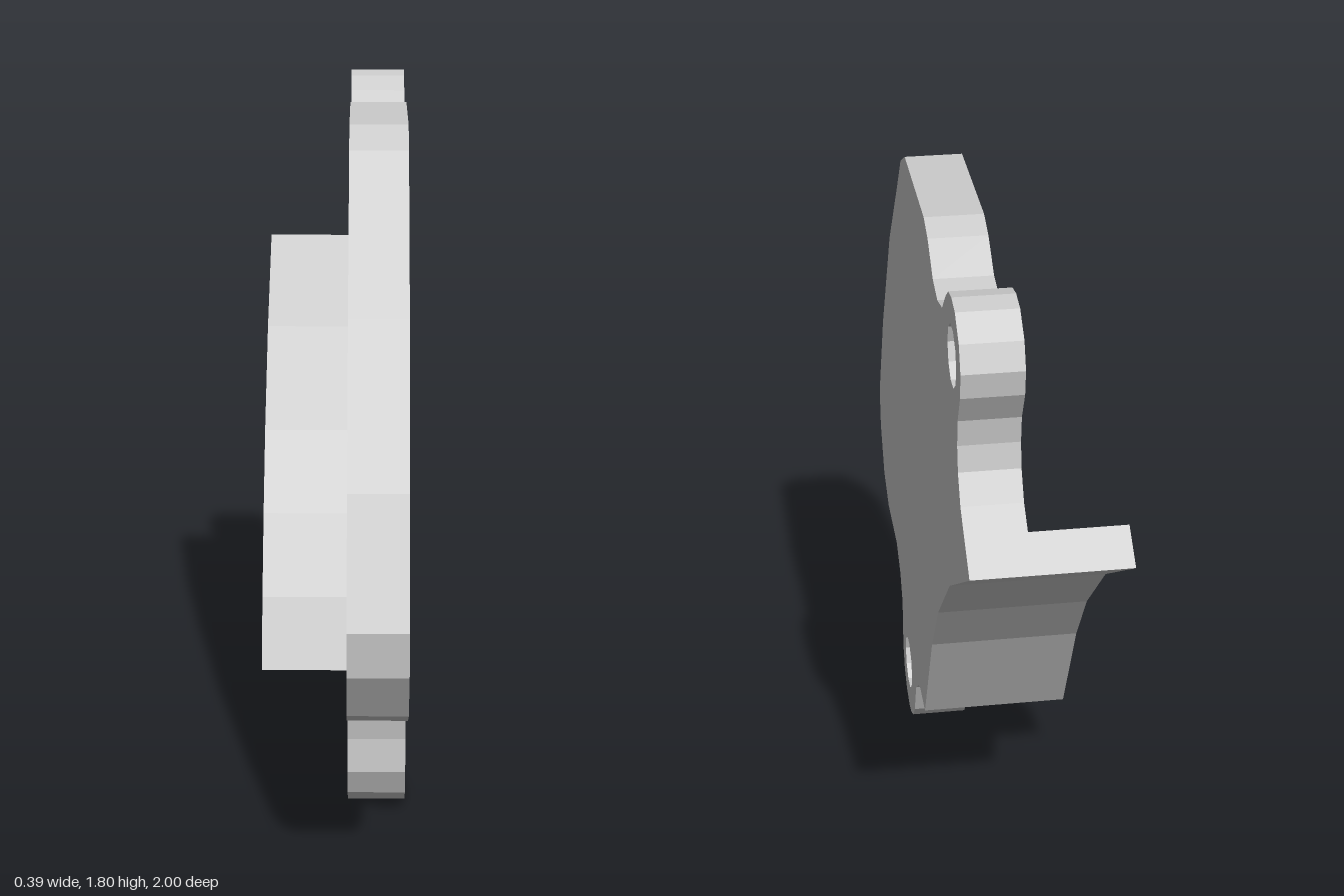
import * as THREE from 'three';

const BACK = -0.2, INNER = 0.04, OUTER = 0.19; // x positions of the flat faces
const SEAT = 0.1, HOLE_R = 0.077, SINK_R = 0.138, SIDES = 10;

const material = new THREE.MeshStandardMaterial({
  color: 0xcccccc, flatShading: true, side: THREE.DoubleSide,
});

// Outlines are [z, y] pairs, seen from +x and running clockwise.
const bodyEdge = [
  [0.03, 0.245], [0.07, 0.23], [0.135, 0.18], [0.18, 0.075], [0.22, 0.03], // lower lug
  [0.27, 0.005], [0.315, 0], [0.38, 0.016], [0.43, 0.055], [0.46, 0.125],
  [0.455, 0.215], [0.465, 0.28], [0.505, 0.343], [0.59, 0.397],
  [0.805, 0.405], [0.915, 0.46], [0.99, 0.585], [1, 0.7],                  // front corner
  [0.855, 1.0], [0.62, 1.37], [0.395, 1.62], [0.3, 1.73], [0.2, 1.78],     // long curved edge
  [-0.2, 1.78], [-0.275, 1.755], [-0.37, 1.69], [-0.455, 1.673],
  [-0.545, 1.695], [-0.61, 1.755], [-0.66, 1.79], [-0.715, 1.8],           // upper lug
  [-0.775, 1.79], [-0.84, 1.74], [-0.865, 1.675], [-0.855, 1.61],
  [-0.81, 1.53], [-0.8, 1.46], [-0.81, 1.395], [-0.85, 1.325], [-0.91, 1.28],
];
const flangeOuter = [
  [-1, 1.215], [-0.64, 0.985], [-0.4, 0.76], [-0.26, 0.574], [-0.15, 0.375], [-0.075, 0.24],
];
const flangeInner = [
  [-0.91, 1.28], [-0.58, 1.075], [-0.32, 0.835], [-0.17, 0.635], [-0.05, 0.43], [0.03, 0.245],
];
const holes = [[-0.716, 1.652], [0.315, 0.152]];

const toShape = (pts) => pts.map(([z, y]) => new THREE.Vector2(-z, y));

// Flat face at x, looking to +x or -x, with round holes of radius r
function face(name, pts, x, outward, r = 0) {
  const shape = new THREE.Shape(toShape(pts));
  if (r) {
    for (const [z, y] of holes) {
      const ring = Array.from({ length: SIDES }, (_, i) => {
        const a = (i / SIDES) * Math.PI * 2;
        return new THREE.Vector2(-z - r * Math.cos(a), y - r * Math.sin(a));
      });
      shape.holes.push(new THREE.Path(ring));
    }
  }
  const g = new THREE.ShapeGeometry(shape).rotateY(Math.PI / 2).translate(x, 0, 0);
  if (outward < 0) {
    g.index.array.reverse();
    g.computeVertexNormals();
  }
  return mesh(name, g);
}

// Strip of quads that follows a clockwise path between two x positions
function wall(name, pts, x0, x1) {
  const pos = [];
  for (let i = 0; i < pts.length - 1; i++) {
    const [z0, y0] = pts[i], [z1, y1] = pts[i + 1];
    pos.push(x0, y0, z0, x1, y0, z0, x1, y1, z1, x0, y0, z0, x1, y1, z1, x0, y1, z1);
  }
  const g = new THREE.BufferGeometry();
  g.setAttribute('position', new THREE.Float32BufferAttribute(pos, 3));
  g.computeVertexNormals();
  return mesh(name, g);
}

function mesh(name, geometry) {
  const m = new THREE.Mesh(geometry, material);
  m.name = name;
  return m;
}

export function createModel() {
  const model = new THREE.Group();
  model.name = 'mountingCover';

  // Cover plate with its two lugs
  const plate = new THREE.Group();
  plate.name = 'coverPlate';
  const outline = [...bodyEdge, ...flangeOuter];
  const inside = [...bodyEdge, ...flangeInner.slice(1, -1)];
  plate.add(
    face('plateOuterFace', outline, OUTER, 1, HOLE_R),
    face('plateInnerFace', inside, INNER, -1, SINK_R),
    wall('plateRim', bodyEdge, INNER, OUTER),
  );

  // Countersunk bolt holes
  const profile = [[SINK_R, INNER], [HOLE_R, SEAT], [HOLE_R, OUTER]]
    .map(([r, x]) => new THREE.Vector2(r, x));
  for (const [z, y] of holes) {
    const hole = mesh('boltHole', new THREE.LatheGeometry(profile, SIDES).rotateZ(-Math.PI / 2));
    hole.position.set(0, y, z);
    plate.add(hole);
  }

  // Curved flange along the concave edge
  const flange = new THREE.Group();
  flange.name = 'curvedFlange';
  const top = [flangeInner[0], flangeOuter[0]];
  const bottom = [flangeOuter.at(-1), flangeInner.at(-1)];
  flange.add(
    wall('flangeOuterWall', flangeOuter, BACK, OUTER),
    wall('flangeInnerWall', [...flangeInner].reverse(), BACK, INNER),
    wall('flangeTopEnd', top, BACK, OUTER),
    wall('flangeBottomEnd', bottom, BACK, OUTER),
    face('flangeEdge', [...flangeOuter, ...[...flangeInner].reverse()], BACK, -1),
  );

  model.add(plate, flange);
  return model;
}
